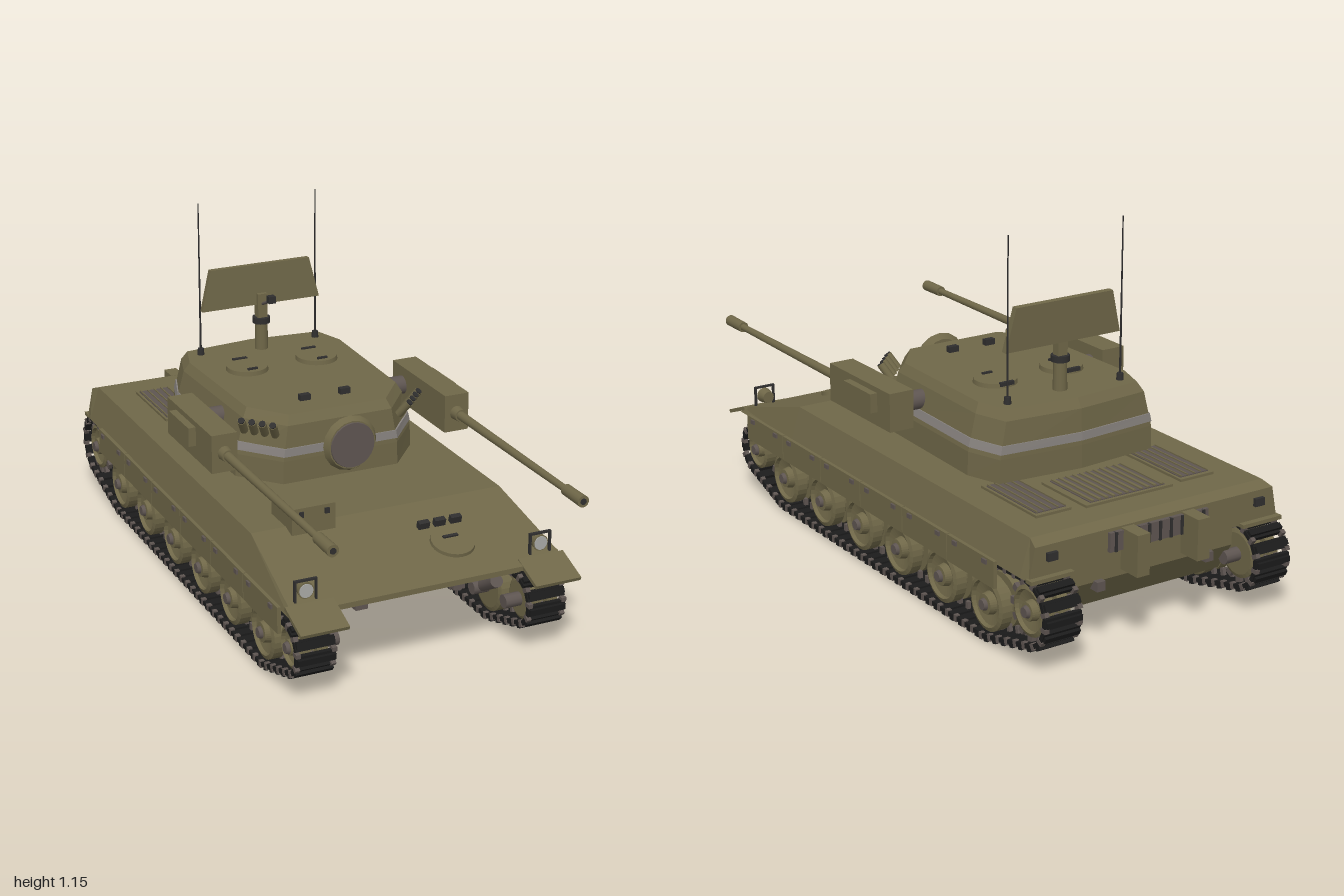
import * as THREE from 'three';
import { mergeGeometries } from 'three/addons/utils/BufferGeometryUtils.js';

const mat = (name, color) => Object.assign(new THREE.MeshStandardMaterial({ color }), { name });

export function createModel() {
  const model = new THREE.Group();
  model.name = 'trackedVehicle';
  const olive = mat('olive paint', 0x6f6748), steel = mat('grey steel', 0x5e5551);
  const black = mat('track black', 0x1b1b1b), dark = mat('dark fittings', 0x2f2e2e);
  const band = mat('stripe grey', 0x88837f), glass = mat('lamp glass', 0xa9a9a6);

  // ---- helpers ----
  const add = (name, geo, m, x = 0, y = 0, z = 0, rx = 0, ry = 0, rz = 0) => {
    const mesh = new THREE.Mesh(geo, m);
    mesh.name = name;
    mesh.position.set(x, y, z);
    mesh.rotation.set(rx, ry, rz);
    model.add(mesh);
    return mesh;
  };
  const box = (w, h, d) => new THREE.BoxGeometry(w, h, d);
  const cyl = (r0, r1, h, n = 20) => new THREE.CylinderGeometry(r0, r1, h, n);
  const bar = (name, a, b, r0, r1, m, n = 12) => {
    const p = new THREE.Vector3(...a), q = new THREE.Vector3(...b);
    const mesh = add(name, cyl(r1, r0, p.distanceTo(q), n), m);
    mesh.position.copy(p).lerp(q, 0.5);
    mesh.quaternion.setFromUnitVectors(new THREE.Vector3(0, 1, 0), q.sub(p).normalize());
    return mesh;
  };
  // skin over convex rings that run anticlockwise about the loft direction
  const loft = (rings) => {
    const v = [], n = rings[0].length;
    const tri = (...ps) => ps.forEach((p) => v.push(...p));
    for (let i = 0; i + 1 < rings.length; i++) for (let j = 0; j < n; j++) {
      const k = (j + 1) % n, P = rings[i], Q = rings[i + 1];
      tri(P[j], P[k], Q[k]);
      tri(P[j], Q[k], Q[j]);
    }
    const A = rings[0], B = rings[rings.length - 1];
    for (let j = 1; j + 1 < n; j++) {
      tri(A[0], A[j + 1], A[j]);
      tri(B[0], B[j], B[j + 1]);
    }
    const g = new THREE.BufferGeometry();
    g.setAttribute('position', new THREE.Float32BufferAttribute(v, 3));
    g.computeVertexNormals();
    return g;
  };
  const section = ([z, x0, y0, x1, y1]) => [[-x0, y0, z], [x0, y0, z], [x1, y1, z], [-x1, y1, z]];

  // ---- hull ----
  add('upperHull', loft([[-0.92, 0.455, 0.285, 0.435, 0.385], [-0.88, 0.46, 0.285, 0.425, 0.4],
    [0.47, 0.46, 0.285, 0.425, 0.4], [0.83, 0.46, 0.285, 0.452, 0.3]].map(section)), olive);
  add('lowerHull', loft([[-0.9, 0.3, 0.22, 0.3, 0.29], [-0.84, 0.3, 0.125, 0.3, 0.29],
    [0.5, 0.3, 0.125, 0.3, 0.29], [0.825, 0.3, 0.28, 0.3, 0.29]].map(section)), olive);
  add('stowageBox', box(0.145, 0.09, 0.15), olive, -0.238, 0.427, 0.44);
  for (const x of [-0.28, -0.195]) add('boxLatch', box(0.015, 0.018, 0.006), dark, x, 0.452, 0.517);

  // engine deck grilles
  const grille = (x, z, w, d, n) => {
    add('grilleFrame', box(w, 0.012, d), olive, x, 0.402, z);
    add('grilleOpening', box(w * 0.86, 0.004, d * 0.9), steel, x, 0.409, z);
    for (let i = 0; i < n; i++)
      add('grilleSlat', box(w * 0.03, 0.008, d * 0.9), olive, x + w * 0.8 * (i / (n - 1) - 0.5), 0.411, z);
  };
  grille(0, -0.67, 0.32, 0.23, 11);
  grille(-0.265, -0.625, 0.125, 0.29, 5);
  grille(0.265, -0.625, 0.125, 0.29, 5);

  // rear plate fittings
  add('rearVent', box(0.36, 0.06, 0.02), steel, 0, 0.345, -0.922);
  for (let i = 0; i < 9; i++) add('rearVentRib', box(0.008, 0.06, 0.012), dark, -0.16 + i * 0.04, 0.345, -0.931);

  // driver hatch on the sloping bow
  const slope = Math.atan2(0.1, 0.36);
  add('driverHatch', cyl(0.068, 0.07, 0.014, 28), olive, 0.15, 0.347, 0.675, slope);
  add('driverHatchHandle', box(0.05, 0.008, 0.01), dark, 0.15, 0.36, 0.66, slope);
  for (const x of [0.095, 0.15, 0.205]) add('driverPeriscope', box(0.036, 0.024, 0.018), dark, x, 0.378, 0.588, slope);

  // ---- turret ----
  const half = [[0.2, 0.205], [0.31, 0.08], [0.325, -0.4], [0.285, -0.515]];
  const plan = [...half, [0, -0.54], ...half.map(([x, z]) => [-x, z]).reverse()];
  const levels = [[0.415, 1, 1], [0.49, 0.99, 1], [0.605, 0.9, 0.98], [0.635, 0.845, 0.93]];
  const ring = (y, kx, kz) => plan.map(([x, z]) => [x * kx, y, -0.17 + (z + 0.17) * kz]);
  add('turretRing', loft([ring(0.395, 0.86, 0.86), ring(0.416, 0.9, 0.92)]), olive);
  add('turret', loft(levels.map((l) => ring(...l))), olive);
  add('turretStripe', loft([ring(0.505, 0.988, 1.006), ring(0.532, 0.967, 1.003)]), band);

  // tracking dish on the turret front
  bar('dishNeck', [0, 0.55, 0.18], [0, 0.55, 0.265], 0.045, 0.04, olive);
  bar('dishRim', [0, 0.545, 0.25], [0, 0.545, 0.268], 0.075, 0.092, olive, 16);
  bar('dishBody', [0, 0.545, 0.268], [0, 0.545, 0.288], 0.092, 0.08, olive, 16);
  bar('dishFace', [0, 0.545, 0.286], [0, 0.545, 0.292], 0.076, 0.074, steel, 24);

  // search radar: mast, tilted panel and feed horn
  bar('mast', [0, 0.62, -0.42], [0, 0.74, -0.42], 0.023, 0.021, olive);
  bar('mastCollar', [0, 0.727, -0.42], [0, 0.747, -0.42], 0.03, 0.03, dark);
  add('mastHead', box(0.034, 0.09, 0.03), olive, 0, 0.785, -0.42);
  const panel = new THREE.Shape([[-0.212, 0], [0.212, 0], [0.178, 0.138], [-0.178, 0.138]].map((p) => new THREE.Vector2(...p)));
  add('radarPanel', new THREE.ExtrudeGeometry(panel, { depth: 0.02, bevelEnabled: false }), olive, 0, 0.79, -0.437, -0.05);
  bar('feedArm', [0, 0.79, -0.42], [0, 0.825, -0.34], 0.005, 0.005, steel, 8);
  add('feedHorn', box(0.024, 0.024, 0.022), dark, 0, 0.832, -0.336);

  for (const x of [-0.07, 0.07]) add('sight', box(0.036, 0.022, 0.02), dark, x, 0.643, 0.08);

  // ---- track path: convex outline round the end and road wheels ----
  const wheelZ = [0.568, 0.316, 0.075, -0.166, -0.418, -0.665];
  const idler = [0.767, 0.16, 0.075], sprocket = [-0.885, 0.177, 0.1];
  const dots = [];
  for (const [z, y, r] of [idler, sprocket, [wheelZ[0], 0.118, 0.097], [wheelZ[5], 0.118, 0.097]])
    for (let i = 0; i < 48; i++) dots.push([z + r * Math.cos(i * Math.PI / 24), y + r * Math.sin(i * Math.PI / 24)]);
  dots.sort((a, b) => a[0] - b[0] || a[1] - b[1]);
  const chain = (pts) => {
    const h = [];
    for (const p of pts) {
      while (h.length > 1) {
        const [a, b] = h.slice(-2);
        if ((b[0] - a[0]) * (p[1] - a[1]) - (b[1] - a[1]) * (p[0] - a[0]) > 1e-9) break;
        h.pop();
      }
      h.push(p);
    }
    return h.slice(0, -1);
  };
  const outline = [...chain(dots), ...chain([...dots].reverse())];
  const path = new THREE.CurvePath();
  outline.forEach((p, i) => path.add(new THREE.LineCurve(new THREE.Vector2(...p),
    new THREE.Vector2(...outline[(i + 1) % outline.length]))));
  const links = 84, pads = [], pins = [];
  for (let i = 0; i < links; i++) {
    const p = path.getPointAt(i / links), t = path.getTangentAt(i / links);
    const put = (g, out, along = 0) => g.translate(0, -out, along).rotateX(-Math.atan2(t.y, t.x)).translate(0, p.y, p.x);
    pads.push(put(box(0.128, 0.014, 0.035), 0), put(box(0.122, 0.012, 0.018), 0.011));
    for (const x of [-0.058, 0.058]) pins.push(put(box(0.015, 0.022, 0.014).translate(x, 0, 0), 0, 0.02));
    pins.push(put(box(0.012, 0.03, 0.014), -0.015));
  }
  const padGeo = mergeGeometries(pads), pinGeo = mergeGeometries(pins);

  // wheel profile: radius and offset along the axle, scaled to the wheel
  const wheel = (r) => new THREE.LatheGeometry([[0, -0.05], [0.85, -0.05], [1, -0.045], [1, -0.01], [0.7, -0.01], [0.7, 0.01],
    [1, 0.01], [1, 0.045], [0.85, 0.05], [0.8, 0.038], [0.42, 0.03], [0.36, 0.052], [0, 0.054]]
    .map(([k, a]) => new THREE.Vector2(k * r, a)), 28).toNonIndexed();
  const flat = (g) => { g.computeVertexNormals(); return g; };

  // ---- everything that repeats on both sides ----
  for (const s of [1, -1]) {
    const axle = -s * Math.PI / 2;
    add('trackPads', padGeo, black, s * 0.385);
    add('trackPins', pinGeo, steel, s * 0.385);
    const running = (name, z, y, r) => {
      add(name, flat(wheel(r)), olive, s * 0.385, y, z, 0, 0, axle);
      add('hubCap', cyl(0.016, 0.02, 0.012, 12), steel, s * 0.443, y, z, 0, 0, axle);
      bar('axle', [s * 0.28, y, z], [s * 0.35, y, z], 0.022, 0.022, steel);
    };
    for (const z of wheelZ) {
      running('roadWheel', z, 0.118, 0.086);
      bar('suspensionArm', [s * 0.312, 0.118, z], [s * 0.312, 0.18, z + 0.1], 0.018, 0.022, steel);
    }
    running('idlerWheel', idler[0], idler[1], 0.066);
    running('driveSprocket', sprocket[0], sprocket[1], 0.078);
    for (const x of [0.35, 0.42]) for (let i = 0; i < 12; i++) {
      const a = i * Math.PI / 6;
      add('sprocketTooth', box(0.014, 0.028, 0.022), steel, s * x, 0.177 + 0.084 * Math.cos(a), -0.885 + 0.084 * Math.sin(a), a);
    }

    // side skirts, hinges and fenders
    for (let i = 0; i < 6; i++) {
      const z = 0.638 - i * 0.255;
      add('skirtPlate', box(0.012, 0.085, 0.251), olive, s * 0.464, 0.252, z);
      for (const d of [-0.08, 0.08]) add('skirtHinge', box(0.01, 0.014, 0.022), steel, s * 0.471, 0.282, z + d);
    }
    const fender = box(0.155, 0.012, 0.12);
    add('frontFender', fender, olive, s * 0.385, 0.285, 0.855, 0.36);
    add('rearFender', box(0.15, 0.012, 0.03), olive, s * 0.385, 0.287, -0.925);

    // lamps, hooks and rear brackets
    bar('headlamp', [s * 0.39, 0.345, 0.755], [s * 0.39, 0.345, 0.79], 0.02, 0.026, olive, 16);
    bar('headlampGlass', [s * 0.39, 0.345, 0.789], [s * 0.39, 0.345, 0.793], 0.022, 0.022, glass, 16);
    for (const d of [-0.034, 0.034]) add('lampGuardPost', box(0.006, 0.07, 0.01), dark, s * 0.39 + d, 0.343, 0.785);
    add('lampGuardTop', box(0.074, 0.006, 0.01), dark, s * 0.39, 0.377, 0.785);
    add('towHook', box(0.04, 0.022, 0.035), steel, s * 0.165, 0.205, 0.68);
    add('rearTowHook', box(0.03, 0.03, 0.04), steel, s * 0.2, 0.21, -0.9);
    add('rearBracket', box(0.045, 0.13, 0.08), olive, s * 0.11, 0.315, -0.96);
    add('tailLamp', box(0.035, 0.025, 0.015), dark, s * 0.38, 0.35, -0.925);

    // turret roof
    add('roofHatch', cyl(0.068, 0.07, 0.014, 28), olive, s * 0.125, 0.642, -0.25);
    add('hatchHinge', box(0.05, 0.012, 0.012), dark, s * 0.125, 0.647, -0.314);
    add('hatchHandle', box(0.035, 0.01, 0.008), dark, s * 0.125, 0.65, -0.205);
    bar('aerialBase', [s * 0.21, 0.625, -0.445], [s * 0.21, 0.657, -0.445], 0.013, 0.01, dark);
    bar('aerial', [s * 0.21, 0.65, -0.445], [s * 0.21, 1.157, -0.445], 0.0035, 0.002, dark, 6);

    // smoke dischargers on the front corners
    for (let i = 0; i < 4; i++) {
      const x = 0.215 + i * 0.024, z = 0.18 - i * 0.026;
      bar('smokeTube', [s * x, 0.575, z], [s * (x + 0.022), 0.62, z + 0.03], 0.013, 0.013, olive, 10);
      bar('smokeTubeCap', [s * (x + 0.021), 0.618, z + 0.0288], [s * (x + 0.0235), 0.623, z + 0.032], 0.011, 0.011, dark, 10);
    }

    // side gun
    bar('gunTrunnion', [s * 0.25, 0.562, -0.08], [s * 0.37, 0.562, -0.08], 0.031, 0.031, steel, 18);
    add('gunHousing', box(0.085, 0.125, 0.37), olive, s * 0.403, 0.562, 0.035);
    add('ammunitionCover', box(0.026, 0.062, 0.165), olive, s * 0.457, 0.576, 0.008);
    bar('barrelCollar', [s * 0.403, 0.562, 0.215], [s * 0.403, 0.562, 0.25], 0.024, 0.02, olive, 14);
    bar('barrel', [s * 0.403, 0.562, 0.24], [s * 0.403, 0.562, 0.92], 0.015, 0.011, olive, 14);
    bar('muzzle', [s * 0.403, 0.562, 0.9], [s * 0.403, 0.562, 0.998], 0.018, 0.019, olive, 14);
    bar('muzzleBore', [s * 0.403, 0.562, 0.996], [s * 0.403, 0.562, 1], 0.01, 0.01, dark, 12);
  }
  return model;
}
